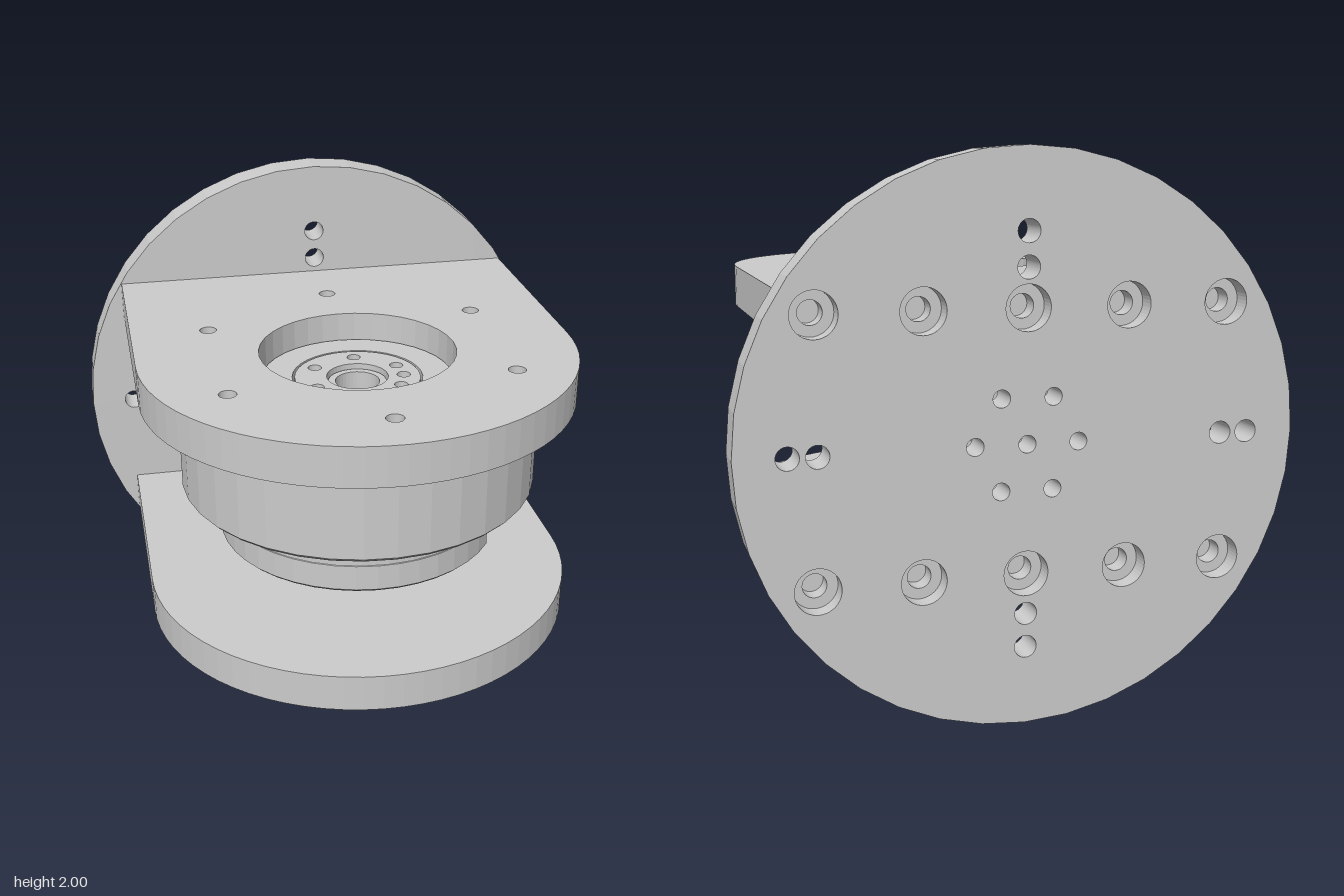
import * as THREE from 'three';

const mat = new THREE.MeshStandardMaterial({ color: 0xcccccc, flatShading: true });
const CZ = 0.115; // z of the motor axis

const circle = (r, x = 0, y = 0) => new THREE.Shape().absarc(x, y, r, 0, Math.PI * 2, false);
const ringPoints = (n, r, start = 0) => Array.from({ length: n }, (_, i) => {
  const a = start + (i * Math.PI * 2) / n;
  return [r * Math.cos(a), r * Math.sin(a)];
});

// Adds round holes of one radius to a shape
function drill(shape, r, points) {
  for (const [x, y] of points) shape.holes.push(circle(r, x, y));
  return shape;
}

function extrude(shape, depth, segs = 18) {
  return new THREE.ExtrudeGeometry(shape, { depth, bevelEnabled: false, curveSegments: segs });
}

export function createModel() {
  const model = new THREE.Group();
  model.name = 'motorBracket';

  const add = (name, geo, x = 0, y = 0, z = 0) => {
    const mesh = new THREE.Mesh(geo, mat);
    mesh.name = name;
    mesh.position.set(x, y, z);
    model.add(mesh);
    return mesh;
  };
  // Horizontal slab around the motor axis; shape y becomes world z
  const slab = (name, shape, bottom, top) =>
    add(name, extrude(shape, top - bottom).rotateX(Math.PI / 2), 0, top, CZ);

  // Round back plate: two layers so that the screw holes are counterbored from behind
  const screws = [];
  for (const y of [0.464, -0.456]) for (const x of [-0.726, -0.363, 0, 0.363, 0.726]) screws.push([x, y]);
  const dowels = [[0.72, 0], [0.82, 0], [-0.72, 0], [-0.82, 0], [0, 0.6], [0, 0.72], [0, -0.6], [0, -0.72]];
  const backLayer = (screwRadius) => {
    const s = drill(circle(1), screwRadius, screws);
    drill(s, 0.04, dowels);
    return drill(s, 0.031, [[0, 0], ...ringPoints(6, 0.185)]);
  };
  add('backPlateOuter', extrude(backLayer(0.08), 0.07, 20), 0, 1, -0.93);
  add('backPlateInner', extrude(backLayer(0.042), 0.07, 20), 0, 1, -0.86);

  // Arm plates: square at the back, rounded at the front
  const armShape = () => {
    const s = new THREE.Shape();
    s.moveTo(-0.835, -0.79 - CZ);
    s.lineTo(0.835, -0.79 - CZ);
    s.lineTo(0.835, 0);
    s.absellipse(0, 0, 0.835, 0.818, 0, Math.PI, false);
    s.closePath();
    return s;
  };
  const flangeHoles = ringPoints(6, 0.615, Math.PI / 2);
  const topArm = drill(armShape(), 0.375, [[0, 0]]);
  slab('topArm', drill(topArm, 0.033, flangeHoles), 1.385, 1.54);
  slab('bottomArm', drill(armShape(), 0.04, [[0, 0]]), 0.515, 0.62);
  slab('bottomArmRecess', drill(armShape(), 0.195, [[0, 0]]), 0.475, 0.515);

  // Motor body with flange holes, wrapped in a chamfered wall
  const body = drill(circle(0.676), 0.033, flangeHoles);
  slab('motorBody', drill(body, 0.085, [[0, 0]]), 1.015, 1.39);
  const wall = [[0.675, 1.015], [0.69, 1.03], [0.69, 1.387]].map((p) => new THREE.Vector2(...p));
  add('motorWall', new THREE.LatheGeometry(wall, 36), 0, 0, CZ);

  // Output face inside the top opening, with a groove between rim and hub
  slab('faceRim', drill(circle(0.366), 0.25, [[0, 0]]), 1.385, 1.43);
  const hub = drill(circle(0.241), 0.118, [[0, 0]]);
  const hubBolts = [...ringPoints(6, 0.183, 0.65), [0.177, 0.02]];
  slab('outputHub', drill(hub, 0.026, hubBolts), 1.385, 1.43);
  slab('hubLip', drill(circle(0.112), 0.085, [[0, 0]]), 1.385, 1.41);

  // Lower housing, with a notch on the left side and a chamfered bottom edge
  slab('lowerHousing', circle(0.545), 0.915, 1.02);
  const notched = new THREE.Shape();
  notched.absarc(0, 0, 0.545, 0.605, Math.PI * 2 - 0.356, false);
  notched.lineTo(0.36, -0.19);
  notched.lineTo(0.36, 0.31);
  notched.closePath();
  const chamfered = new THREE.ExtrudeGeometry(notched, {
    depth: 0.1, curveSegments: 18, bevelEnabled: true, bevelSegments: 1,
    bevelSize: 0.012, bevelThickness: 0.012, bevelOffset: -0.012,
  });
  add('notchedHousing', chamfered.rotateX(Math.PI / 2), 0, 0.912, CZ);

  // Connector inside the notch
  add('connectorShelf', new THREE.BoxGeometry(0.1, 0.045, 0.5), 0.39, 0.825, 0.175);
  add('connectorSocket', new THREE.BoxGeometry(0.1, 0.03, 0.19), 0.41, 0.83, 0.165);

  return model;
}
